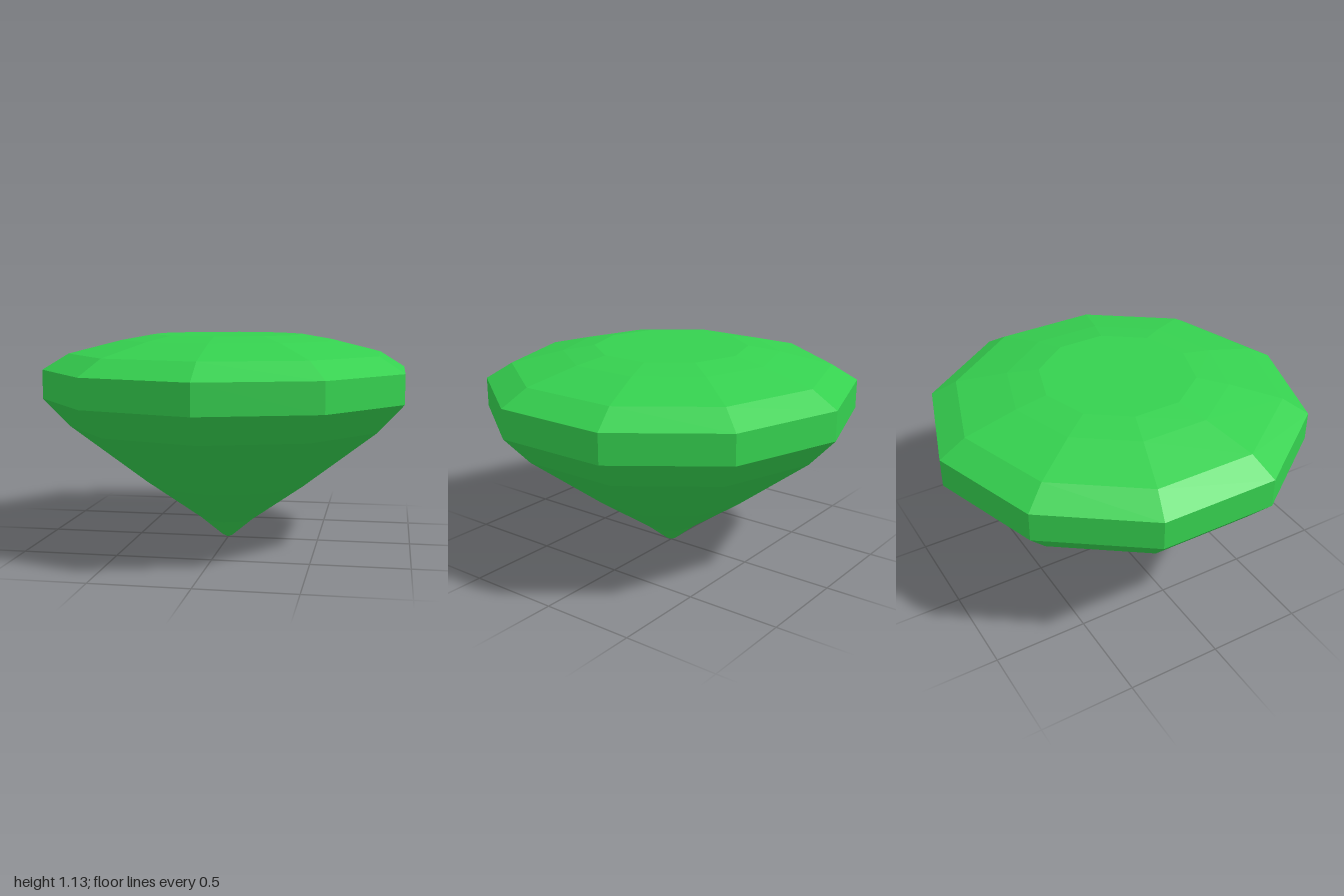
import * as THREE from 'three';

const SIDES = 10;

// Faceted ring of surfaces from a [radius, height] profile, listed bottom to top
function facets(name, profile, material) {
  const points = profile.map(([r, y]) => new THREE.Vector2(r, y));
  const geometry = new THREE.LatheGeometry(points, SIDES).toNonIndexed();
  geometry.computeVertexNormals();
  const mesh = new THREE.Mesh(geometry, material);
  mesh.name = name;
  return mesh;
}

export function createModel() {
  const gem = new THREE.Group();
  gem.name = 'cutGem';
  const green = new THREE.MeshStandardMaterial({ color: 0x35d04f, flatShading: true });

  // Lower cone, tapering to the blunt tip
  gem.add(facets('pavilion', [[0, 0], [0.03, 0.015], [0.15, 0.115], [0.45, 0.325], [0.86, 0.64], [1, 0.79]], green));
  // Upright band around the widest part
  gem.add(facets('girdle', [[1, 0.79], [1, 0.945]], green));
  // Sloping upper facets and the flat table
  gem.add(facets('crown', [[1, 0.945], [0.86, 1.03], [0.58, 1.1], [0.41, 1.13]], green));
  gem.add(facets('table', [[0.41, 1.13], [0, 1.13]], green));
  return gem;
}
